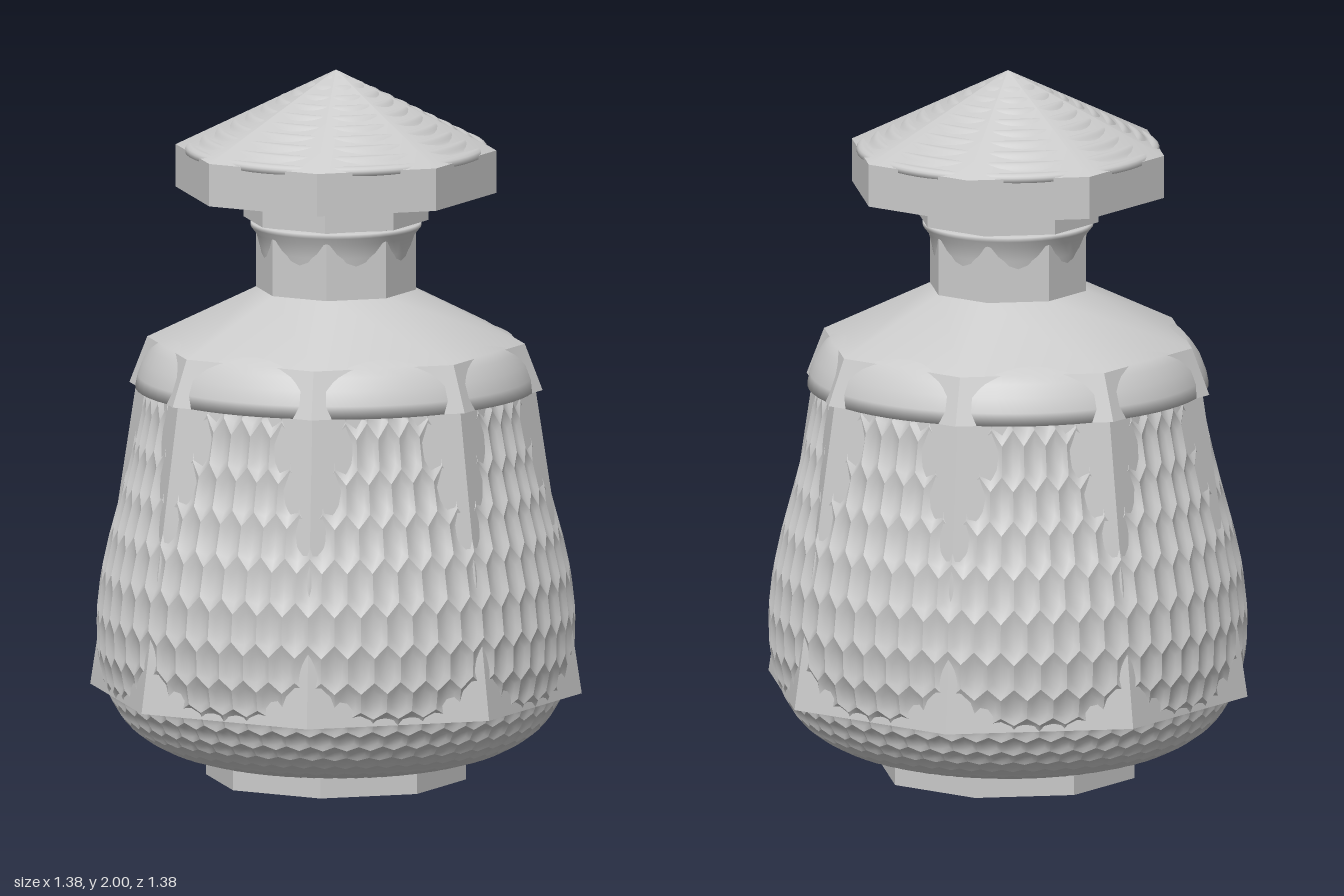
import * as THREE from 'three';

const flat = new THREE.MeshStandardMaterial({ color: 0xcccccc, flatShading: true });
const smooth = new THREE.MeshStandardMaterial({ color: 0xcccccc, side: THREE.DoubleSide });

function add(group, name, geometry, material) {
  const mesh = new THREE.Mesh(geometry, material);
  mesh.name = name;
  group.add(mesh);
}

// Eight-sided faceted drum between two heights
function octagon(group, name, rBottom, rTop, y0, y1) {
  const g = new THREE.CylinderGeometry(rTop, rBottom, y1 - y0, 8);
  g.translate(0, (y0 + y1) / 2, 0);
  add(group, name, g, flat);
}

// Surface of revolution from [radius, height] pairs
function lathe(group, name, profile, sides) {
  const points = profile.map(([r, y]) => new THREE.Vector2(r, y));
  add(group, name, new THREE.LatheGeometry(points, sides), smooth);
}

// Round vessel wall covered in sunken hexagonal cells, one profile point per row
function honeycomb() {
  const profile = new THREE.SplineCurve([
    [0.33, 0.05], [0.43, 0.072], [0.5, 0.1], [0.548, 0.13], [0.583, 0.16],
    [0.612, 0.2], [0.638, 0.25], [0.658, 0.315], [0.668, 0.41], [0.663, 0.52],
    [0.643, 0.64], [0.612, 0.76], [0.58, 0.88], [0.553, 1.0], [0.53, 1.12],
  ].map(([r, y]) => new THREE.Vector2(r, y)));
  const rows = 14, columns = 56;
  const corners = [[0, 2 / 3], [-0.5, 1 / 3], [-0.5, -1 / 3], [0, -2 / 3], [0.5, -1 / 3], [0.5, 1 / 3]];
  const positions = [], indices = [];

  const vertex = (u, v, depth) => {
    const t = THREE.MathUtils.clamp(v / rows, 0, 1);
    const p = profile.getPoint(t), d = profile.getTangent(t);
    const r = p.x - d.y * depth, y = p.y + d.x * depth;
    const a = (u / columns) * Math.PI * 2;
    positions.push(r * Math.sin(a), y, r * Math.cos(a));
  };

  for (let row = 0; row <= rows; row++) {
    const depth = 0.003 + 0.012 * Math.min(1, row / 8);
    for (let col = 0; col < columns; col++) {
      const u = col + 0.5 * (row % 2), base = positions.length / 3;
      for (const [scale, sink] of [[1, 0], [0.6, 0.7]]) {
        for (const [du, dv] of corners) vertex(u + du * scale, row + dv * scale, depth * sink);
      }
      vertex(u, row, depth);
      for (let k = 0; k < 6; k++) {
        const n = (k + 1) % 6;
        const a = base + k, b = base + n, c = base + 6 + k, d = base + 6 + n;
        indices.push(a, b, d, a, d, c, c, d, base + 12);
      }
    }
  }
  const g = new THREE.BufferGeometry();
  g.setAttribute('position', new THREE.Float32BufferAttribute(positions, 3));
  g.setIndex(indices);
  g.computeVertexNormals();
  return g;
}

export function createModel() {
  const model = new THREE.Group();
  model.name = 'lidded jar';

  // Foot and body: a faceted shell with the round cellular wall pushing through
  octagon(model, 'foot', 0.365, 0.365, 0, 0.065);
  octagon(model, 'facetedBody', 0.69, 0.56, 0.25, 1.11);
  add(model, 'honeycombWall', honeycomb(), smooth);

  // Shoulder: faceted skirt and cone, with a round dome bulging between corners
  octagon(model, 'shoulderSkirt', 0.58, 0.53, 1.105, 1.235);
  lathe(model, 'shoulderCone', [[0.53, 1.235], [0.22, 1.385]], 8);
  lathe(model, 'shoulderDome', [[0.45, 1.105], [0.56, 1.105], [0.553, 1.14], [0.538, 1.18],
    [0.515, 1.215], [0.495, 1.238], [0.45, 1.255], [0.2, 1.38]], 64);

  // Neck with a rounded lip, then the collar under the lid
  octagon(model, 'neck', 0.225, 0.225, 1.38, 1.575);
  lathe(model, 'neckLip', [[0.205, 1.46], [0.212, 1.5], [0.222, 1.54], [0.238, 1.56],
    [0.238, 1.572], [0.19, 1.575]], 48);
  octagon(model, 'collar', 0.26, 0.26, 1.58, 1.67);
  octagon(model, 'stopper', 0.2, 0.2, 1.56, 1.6);

  // Lid: faceted rim and cone, with fine round ripples showing on each facet
  octagon(model, 'lidRim', 0.45, 0.45, 1.66, 1.78);
  lathe(model, 'lidCone', [[0.45, 1.78], [0, 2]], 8);
  const ripples = [[0.41, 1.765], [0.422, 1.77]];
  for (let i = 0; i <= 90; i++) {
    const r = 0.422 * (1 - i / 90);
    const wave = 0.004 * Math.sin(i * Math.PI * 2 / 9) * Math.min(1, r / 0.15);
    ripples.push([r, 2 - r * (0.22 / 0.428) + wave - 0.001]);
  }
  lathe(model, 'lidRipples', ripples, 64);

  return model;
}
